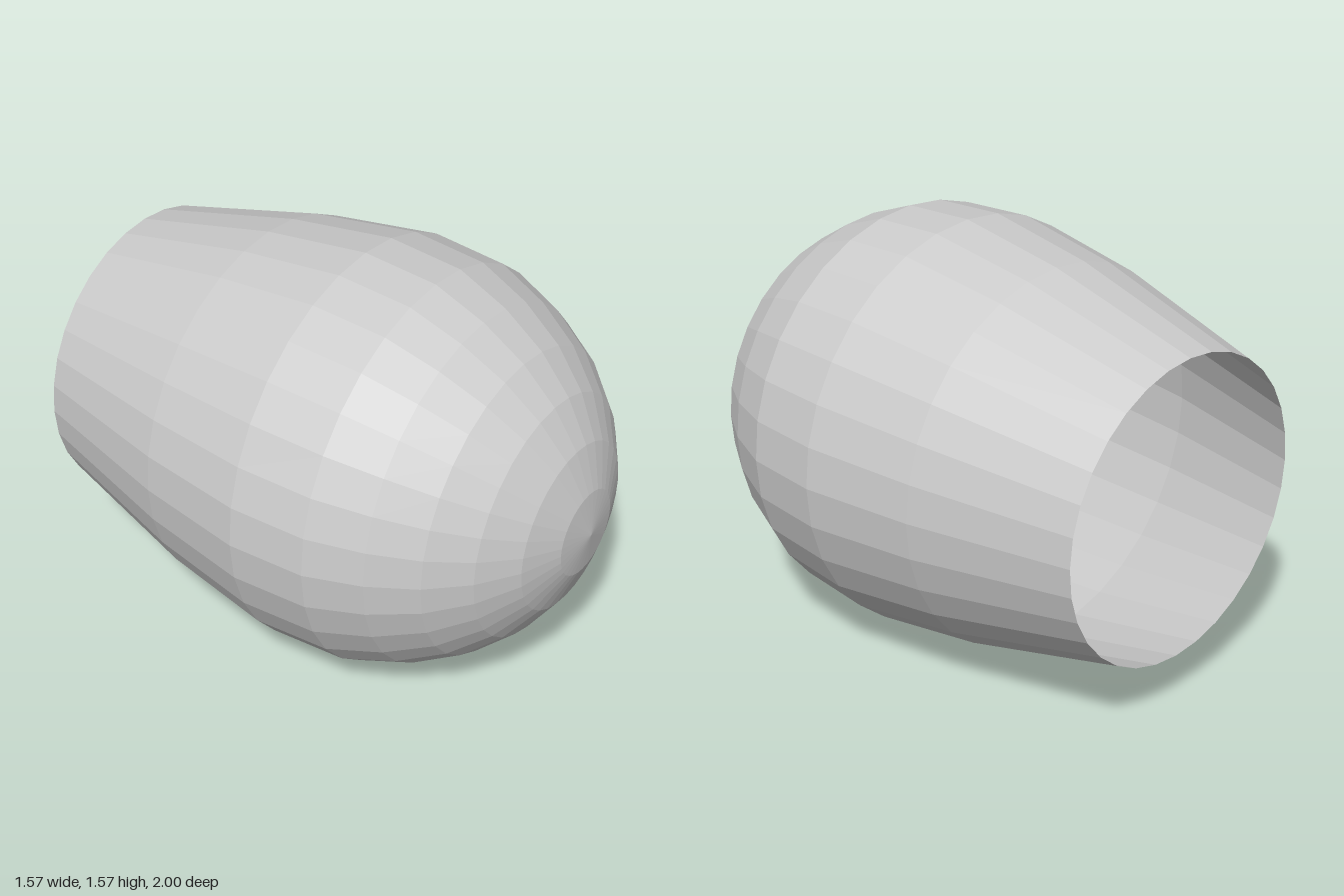
import * as THREE from 'three';

export function createModel() {
  const group = new THREE.Group();
  group.name = 'openCapsule';

  // Profile as [radius, z], from the open rear rim to the nose tip
  const profile = [
    [0.565, -1], [0.72, -0.4], [0.787, 0.03], [0.768, 0.325], [0.69, 0.525],
    [0.588, 0.69], [0.463, 0.82], [0.319, 0.917], [0.163, 0.977], [0, 1],
  ].map(([r, z]) => new THREE.Vector2(r, z));

  // Faceted thin shell, turned so its axis runs along z
  const geometry = new THREE.LatheGeometry(profile, 32);
  geometry.rotateX(Math.PI / 2);
  const shell = new THREE.Mesh(geometry, new THREE.MeshStandardMaterial({
    color: 0xcccccc, flatShading: true, side: THREE.DoubleSide,
  }));
  shell.name = 'shell';
  shell.position.y = 0.787;
  group.add(shell);

  return group;
}
